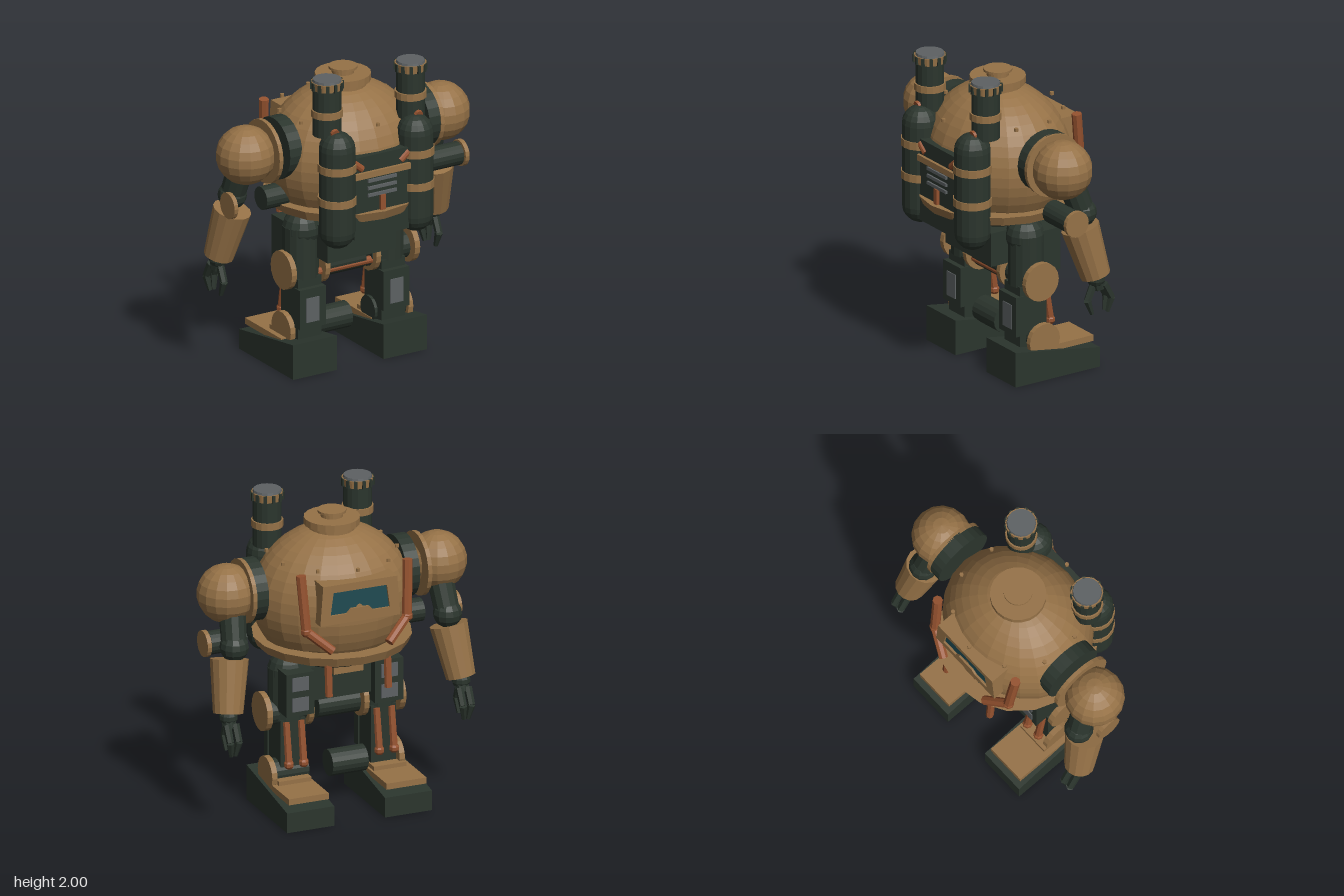
import * as THREE from 'three';

const mat = (name, color, extra = {}) => {
  const m = new THREE.MeshStandardMaterial({ color, flatShading: true, ...extra });
  m.name = name;
  return m;
};

export function createModel() {
  const root = new THREE.Group();
  root.name = 'walker';
  const tan = mat('tan armour', 0x967247);
  const dark = mat('dark green metal', 0x2b352d);
  const grey = mat('grey steel', 0x5d6163);
  const copper = mat('copper pipe', 0x95522f);
  const glass = mat('teal glass', 0x1f4a52);

  const add = (name, geo, m, x = 0, y = 0, z = 0) => {
    const mesh = new THREE.Mesh(geo, m);
    mesh.name = name;
    mesh.position.set(x, y, z);
    root.add(mesh);
    return mesh;
  };
  const box = (name, m, w, h, d, x, y, z) => add(name, new THREE.BoxGeometry(w, h, d), m, x, y, z);
  const cyl = (name, m, rTop, rBot, y0, y1, x, z, n = 16) =>
    add(name, new THREE.CylinderGeometry(rTop, rBot, y1 - y0, n), m, x, (y0 + y1) / 2, z);
  const ball = (name, m, r, x, y, z, n = 16) => add(name, new THREE.SphereGeometry(r, n, n * 0.7 | 0), m, x, y, z);
  // cylinder running from x0 towards +x
  const axle = (name, m, r, x0, len, y, z, n = 18) => {
    const c = add(name, new THREE.CylinderGeometry(r, r, len, n), m, x0 + len / 2, y, z);
    c.rotation.z = Math.PI / 2;
  };
  // cylinder between two points
  const rod = (name, m, a, b, r0, r1 = r0, n = 10) => {
    const p = new THREE.Vector3(...a), q = new THREE.Vector3(...b);
    const d = q.clone().sub(p);
    const c = add(name, new THREE.CylinderGeometry(r1, r0, d.length(), n), m);
    c.position.copy(p).add(q).multiplyScalar(0.5);
    c.quaternion.setFromUnitVectors(new THREE.Vector3(0, 1, 0), d.normalize());
  };
  const lathe = (name, m, pts, n = 18) =>
    add(name, new THREE.LatheGeometry(pts.map(p => new THREE.Vector2(...p)), n), m);

  // round hull, belt and underside
  const hull = new THREE.SphereGeometry(0.51, 24, 16, 0, Math.PI * 2, 0, 2.25);
  hull.scale(1, 0.92, 0.85);
  add('hull', hull, tan, 0, 1.365, 0);
  lathe('belt', tan, [[0.38, 1.06], [0.475, 1.06], [0.5, 1.12], [0.4, 1.12]]);
  lathe('waist', dark, [[0, 0.97], [0.26, 0.97], [0.36, 1.02], [0.4, 1.07]]);
  lathe('hatch', tan, [[0.15, 1.78], [0.15, 1.83], [0.175, 1.835], [0.175, 1.88], [0.07, 1.88],
    [0.07, 1.905], [0.09, 1.91], [0.09, 1.925], [0, 1.925]], 20);
  for (let i = 0; i < 10; i++) {
    const a = i * Math.PI / 5;
    cyl('hullBolt', tan, 0.013, 0.013, 1.655, 1.675, 0.405 * Math.sin(a), 0.405 * Math.cos(a), 8);
  }

  // viewing window
  const outline = (T, pts) => new T(pts.map(p => new THREE.Vector2(...p)));
  const pane = [[-0.2, 1.4], [-0.09, 1.4], [-0.06, 1.43], [0.06, 1.43], [0.09, 1.4], [0.2, 1.4], [0.18, 1.55], [-0.18, 1.55]];
  const frame = outline(THREE.Shape, [[-0.27, 1.34], [0.27, 1.34], [0.25, 1.6], [-0.25, 1.6]]);
  frame.holes.push(outline(THREE.Path, pane));
  add('windowFrame', new THREE.ExtrudeGeometry(frame, { depth: 0.2, bevelEnabled: false }), tan, 0, 0, -0.44);
  box('windowGlass', glass, 0.44, 0.2, 0.008, 0, 1.475, -0.422);

  // rear pack
  box('packBody', dark, 0.4, 0.54, 0.22, 0, 1.22, 0.34);
  box('packBar', tan, 0.4, 0.04, 0.03, 0, 1.37, 0.455);
  for (const y of [1.325, 1.277, 1.23]) box('packSlat', grey, 0.21, 0.02, 0.02, 0, y, 0.452);
  box('packPipe', copper, 0.035, 0.1, 0.03, 0, 1.17, 0.455);

  // pelvis and cross rod
  box('pelvis', dark, 0.5, 0.22, 0.36, 0, 0.84, 0.04);
  box('pelvisCrest', tan, 0.2, 0.07, 0.16, 0, 0.965, -0.18);
  axle('crossRod', copper, 0.025, -0.32, 0.49, 0.62, 0.06, 10);

  // wedge foot profile, seen from the side
  const footShape = outline(THREE.Shape, [[-0.2, 0], [0.43, 0], [0.43, 0.13], [-0.2, 0.23]]);

  for (const s of [1, -1]) {
    // tank with bands
    add('tank', new THREE.CapsuleGeometry(0.115, 0.54, 5, 16), dark, s * 0.285, 1.285, 0.385);
    for (const y of [1.22, 1.437]) cyl('tankBand', tan, 0.122, 0.122, y - 0.025, y + 0.025, s * 0.285, 0.385);
    rod('packStrut', copper, [s * 0.2, 1.46, 0.44], [s * 0.14, 1.41, 0.44], 0.025);

    // exhaust stack
    const ex = s * 0.305, ez = 0.3;
    cyl('stack', dark, 0.09, 0.09, 1.63, 1.985, ex, ez);
    cyl('stackBand', tan, 0.1, 0.1, 1.755, 1.8, ex, ez);
    cyl('stackCollar', tan, 0.1, 0.095, 1.935, 1.985, ex, ez);
    for (let i = 0; i < 12; i++) {
      const a = i * Math.PI / 6;
      const t = box('stackTooth', dark, 0.02, 0.05, 0.02, ex + 0.096 * Math.sin(a), 1.96, ez + 0.096 * Math.cos(a));
      t.rotation.y = a;
    }
    cyl('stackCap', grey, 0.088, 0.092, 1.984, 2, ex, ez);
    rod('stackPipe', copper, [ex, 1.66, 0.4], [ex, 1.68, 0.32], 0.03);

    // pipes beside the window and hanging below the belt
    rod('facePipe', copper, [s * 0.36, 1.66, -0.345], [s * 0.34, 1.3, -0.385], 0.032, 0.032, 8);
    rod('facePipeLower', copper, [s * 0.34, 1.3, -0.385], [s * 0.19, 1.17, -0.45], 0.03, 0.03, 8);
    ball('facePipeJoint', copper, 0.037, s * 0.34, 1.3, -0.385, 8);
    rod('beltPipe', copper, [s * 0.2, 1.08, -0.4], [s * 0.2, 0.86, -0.415], 0.025, 0.025, 8);

    // shoulder
    axle('shoulderCollar', dark, 0.2, s * 0.51, 0.09, 1.48, 0, 24);
    axle('shoulderDisc', tan, 0.205, s * 0.59, 0.027, 1.475, 0, 24);
    ball('shoulderBall', tan, 0.188, s * 0.71, 1.477, 0);

    // arm
    rod('upperArm', dark, [s * 0.7, 1.4, -0.06], [s * 0.72, 1.17, -0.14], 0.085, 0.08, 12);
    ball('elbow', dark, 0.092, s * 0.72, 1.17, -0.14, 12);
    axle('elbowAxle', dark, 0.075, s * 0.6, 0.24, 1.165, 0);
    axle('elbowDisc', tan, 0.085, s * 0.845, 0.028, 1.165, 0);
    rod('forearm', tan, [s * 0.74, 1.085, -0.11], [s * 0.785, 0.76, -0.195], 0.122, 0.095, 14);

    // hand
    ball('wrist', dark, 0.06, s * 0.785, 0.74, -0.2, 10);
    rod('palm', dark, [s * 0.785, 0.74, -0.2], [s * 0.785, 0.67, -0.22], 0.05, 0.045, 8);
    for (const [dx, z0, z1, z2] of [[-0.028, -0.24, -0.295, -0.275], [0.028, -0.24, -0.295, -0.275], [0, -0.18, -0.135, -0.17]]) {
      const k = [s * (0.785 + dx), 0.6, z1];
      rod('finger', dark, [s * (0.785 + dx), 0.7, z0], k, 0.026, 0.024, 6);
      rod('fingertip', dark, k, [s * (0.785 + dx * 0.5), 0.505, z2], 0.026, 0.014, 6);
    }

    // thigh and hip plates
    cyl('thigh', dark, 0.115, 0.115, 0.6, 0.93, s * 0.31, 0);
    ball('hip', dark, 0.125, s * 0.3, 0.91, 0, 14);
    box('thighPlate', dark, 0.19, 0.28, 0.14, s * 0.3, 0.81, -0.13);
    for (const y of [0.745, 0.88]) box('thighPanel', grey, 0.11, 0.09, 0.008, s * 0.3, y, -0.203);

    // knee
    axle('kneeAxle', dark, 0.085, s * 0.16, 0.28, 0.645, 0);
    axle('kneeDisc', tan, 0.125, s * 0.45, 0.037, 0.655, 0);
    axle('kneeInnerDisc', tan, 0.125, s * 0.185 - 0.017, 0.034, 0.655, 0);

    // shin with pistons
    box('shin', dark, 0.17, 0.42, 0.2, s * 0.305, 0.4, 0);
    box('shinGuard', dark, 0.19, 0.26, 0.06, s * 0.305, 0.42, 0.105);
    box('shinPanel', grey, 0.095, 0.16, 0.008, s * 0.308, 0.41, 0.137);
    for (const dx of [-0.05, 0.05]) {
      const x = s * 0.305 + dx;
      rod('piston', copper, [x, 0.6, -0.11], [x, 0.34, -0.15], 0.022, 0.025, 8);
      ball('pistonEnd', copper, 0.033, x, 0.335, -0.15, 8);
    }

    // ankle and foot
    axle('ankleAxle', dark, 0.085, s * 0.2, 0.24, 0.255, -0.03);
    axle('ankleDisc', tan, 0.113, s * 0.43, 0.036, 0.25, -0.035);
    const foot = add('foot', new THREE.ExtrudeGeometry(footShape, { depth: 0.318, bevelEnabled: false }), dark, s * 0.33 + 0.159, 0, 0);
    foot.rotation.y = Math.PI / 2;
    foot.position.x -= 0.318;
    box('footPlate', tan, 0.27, 0.04, 0.42, s * 0.33, 0.19, -0.19);
    box('ankleBase', tan, 0.22, 0.035, 0.19, s * 0.32, 0.22, -0.075);
  }
  return root;
}
